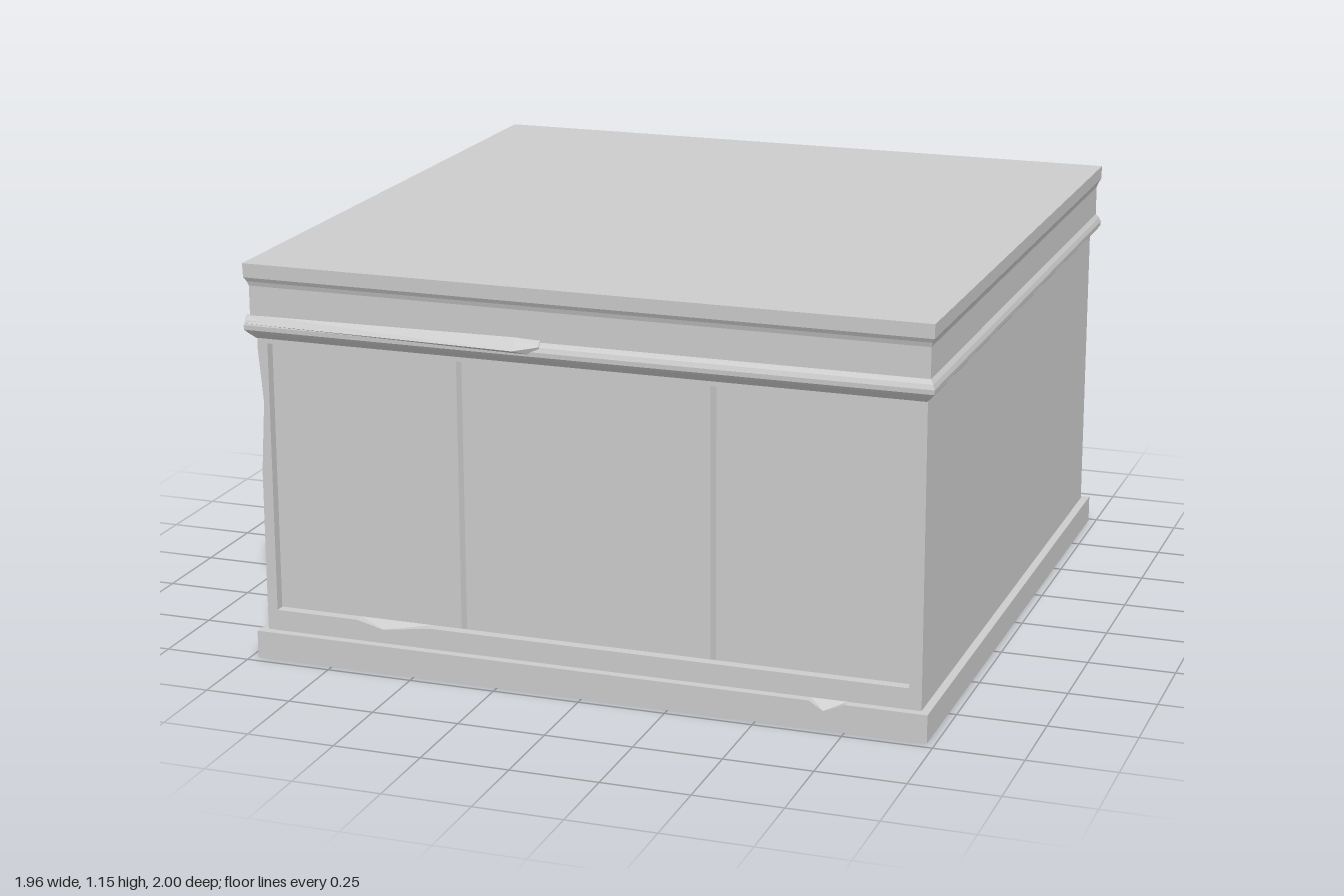
import * as THREE from 'three';

const material = new THREE.MeshStandardMaterial({ color: 0xcccccc, flatShading: true });

function add(group, name, geometry) {
  const mesh = new THREE.Mesh(geometry, material);
  mesh.name = name;
  group.add(mesh);
  return mesh;
}

const toShape = (pts) => new THREE.Shape(pts.map(([x, y]) => new THREE.Vector2(x, y)));

// Plate facing +z, between two depths
function plate(shape, zBack, zFront) {
  const g = new THREE.ExtrudeGeometry(shape, { depth: zFront - zBack, bevelEnabled: false });
  return g.translate(0, 0, zBack);
}

// Skin a row of equal-length rings, with end caps
function loft(rings) {
  const n = rings[0].length;
  const pos = rings.flat(2);
  const index = [];
  for (let r = 0; r < rings.length - 1; r++) {
    for (let i = 0; i < n; i++) {
      const a = r * n + i, b = r * n + (i + 1) % n;
      index.push(a, b, b + n, a, b + n, a + n);
    }
  }
  const last = (rings.length - 1) * n;
  for (let i = 1; i < n - 1; i++) {
    index.push(0, i + 1, i, last, last + i, last + i + 1);
  }
  const g = new THREE.BufferGeometry();
  g.setAttribute('position', new THREE.Float32BufferAttribute(pos, 3));
  g.setIndex(index);
  const flat = g.toNonIndexed();
  flat.computeVertexNormals();
  return flat;
}

// Sloping facet that closes a notch: tip at the front, ends at the back
function chipFacet([a, tip, b], zBack, zFront) {
  const g = new THREE.BufferGeometry();
  g.setAttribute('position', new THREE.Float32BufferAttribute(
    [...a, zBack, ...tip, zFront, ...b, zBack], 3));
  g.computeVertexNormals();
  return g;
}

export function createModel() {
  const group = new THREE.Group();

  // Body: plan outline with two V grooves in the front, raised upward
  const bx = 0.955, back = -0.964, panelZ = 0.92, frontZ = 0.95;
  const plan = [[-bx, -panelZ]];
  for (const x of [-0.367, 0.362]) {
    plan.push([x - 0.008, -panelZ], [x, -panelZ + 0.025], [x + 0.008, -panelZ]);
  }
  plan.push([bx, -panelZ], [bx, -back], [-bx, -back]);
  const body = new THREE.ExtrudeGeometry(toShape(plan), { depth: 0.88, bevelEnabled: false });
  add(group, 'body', body.rotateX(-Math.PI / 2).translate(0, 0.06, 0));

  // Front frame around the recessed panels, chipped at one corner and the lower lip
  const cornerChip = [[-bx, 0.55], [-0.942, 0.75], [-bx, 0.9]];
  const lipChip = [[-0.68, 0.14], [-0.6, 0.12], [-0.46, 0.14]];
  const frame = toShape([[-bx, 0.06], [bx, 0.06], [bx, 0.94], [-bx, 0.94], ...[...cornerChip].reverse()]);
  frame.holes.push(toShape([[-0.925, 0.14], ...lipChip, [0.92, 0.14], [0.92, 0.92], [-0.925, 0.92]]));
  add(group, 'frontFrame', plate(frame, panelZ, frontZ));
  add(group, 'cornerChip', chipFacet(cornerChip, panelZ, frontZ));
  add(group, 'lipChip', chipFacet(lipChip, panelZ, frontZ));

  // Plinth with a chipped front strip
  const px = 0.978, ph = 0.08, pz = 0.975, pBack = -0.985;
  const plinth = new THREE.BoxGeometry(2 * px, ph, frontZ - pBack);
  add(group, 'plinth', plinth.translate(0, ph / 2, (frontZ + pBack) / 2));
  const plinthChip = [[0.65, ph], [0.69, 0.055], [0.75, ph]];
  const strip = toShape([[-px, 0], [px, 0], [px, ph], ...[...plinthChip].reverse(), [-px, ph]]);
  add(group, 'plinthFront', plate(strip, frontZ, pz));
  add(group, 'plinthChip', chipFacet(plinthChip, frontZ, pz));

  // Cornice: [half width, height], with the bead low down and the cap on top
  const profile = [
    [0.955, 0.935], [0.972, 0.953], [0.979, 0.962], [0.98, 0.975], [0.975, 0.988], [0.966, 1.0],
    [0.966, 1.085], [0.97, 1.098], [0.977, 1.11], [0.978, 1.15],
  ];
  const cz = -0.01;
  add(group, 'cornice', loft(profile.map(([h, y]) => {
    const d = h + 0.011;
    return [[h, y, cz + d], [h, y, cz - d], [-h, y, cz - d], [-h, y, cz + d]];
  })));

  // Splintered stretch of the front bead: [x, peak depth, top height, peak height]
  const splinter = [[-0.978, 0.98, 1.003, 0.98], [-0.18, 1.0, 1.01, 0.978], [-0.11, 0.98, 1.008, 0.99]];
  add(group, 'splinteredBead', loft(splinter.map(([x, z, top, peak]) => [
    [x, top, 0.965], [x, peak, z], [x, 0.96, 0.965],
  ])));

  return group;
}
